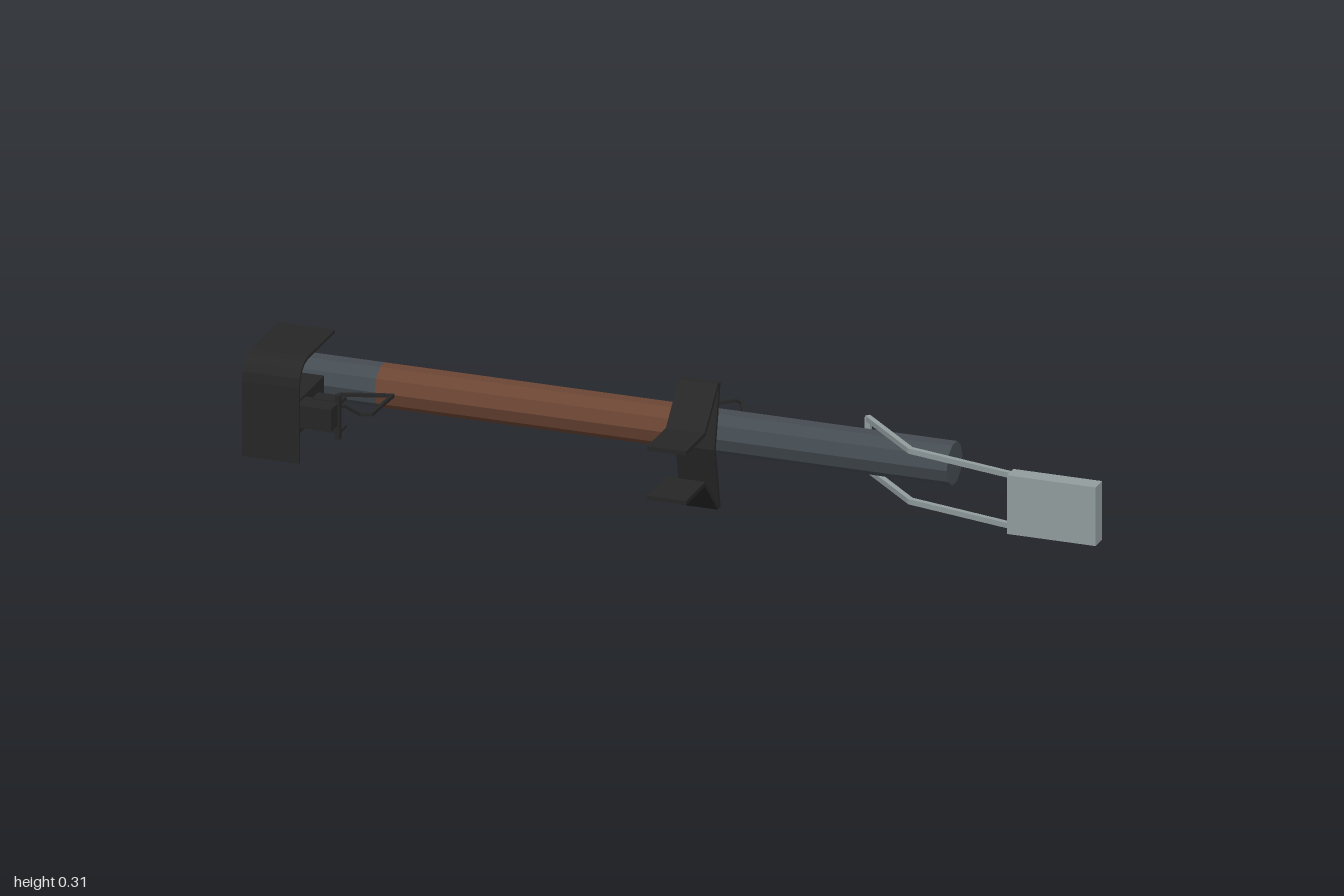
import * as THREE from 'three';

const mat = (name, color) => {
  const m = new THREE.MeshStandardMaterial({ color });
  m.name = name;
  return m;
};

export function createModel() {
  const steel = mat('blued steel', 0x454c52);
  const wood = mat('brown wood', 0x6b4533);
  const black = mat('black metal', 0x262626);
  const grey = mat('light grey metal', 0x929d9e);
  const model = new THREE.Group();
  model.name = 'shoulderTube';
  // The long axis is local z, swung 20 degrees about the vertical
  model.rotation.y = THREE.MathUtils.degToRad(20);
  const AXIS_X = 0.184, AXIS_Y = 0.162;

  const add = (name, geometry, material, parent = model) => {
    const g = geometry.index ? geometry.toNonIndexed() : geometry;
    g.computeVertexNormals();
    const mesh = new THREE.Mesh(g, material);
    mesh.name = name;
    parent.add(mesh);
    return mesh;
  };

  // Box given by its limits on each axis
  const block = (name, [x0, x1], [y0, y1], [z0, z1], material, parent) =>
    add(name, new THREE.BoxGeometry(x1 - x0, y1 - y0, z1 - z0), material, parent)
      .position.set((x0 + x1) / 2, (y0 + y1) / 2, (z0 + z1) / 2);

  // Square bar running through a list of points
  const bars = (name, points, size, material, closed = false) => {
    const group = new THREE.Group();
    group.name = name;
    const v = points.map((p) => new THREE.Vector3(...p));
    if (closed) v.push(v[0]);
    for (let i = 0; i + 1 < v.length; i++) {
      const length = v[i].distanceTo(v[i + 1]) + size * 0.6;
      const bar = add(name + 'Segment', new THREE.BoxGeometry(size, size, length), material, group);
      bar.position.copy(v[i]).lerp(v[i + 1], 0.5);
      bar.lookAt(v[i + 1]);
    }
    model.add(group);
  };

  // Bent sheet: a centreline in x and y, thickened and extruded along z
  const sheet = (name, points, thickness, z0, z1, material) => {
    const p = points.map(([x, y]) => new THREE.Vector2(x, y));
    const normal = (a, b) => new THREE.Vector2(a.y - b.y, b.x - a.x).normalize();
    const left = [], right = [];
    p.forEach((q, i) => {
      const n0 = normal(p[Math.max(i - 1, 0)], p[Math.max(i, 1)]);
      const n1 = i < p.length - 1 ? normal(q, p[i + 1]) : n0;
      const n = n0.clone().add(n1).normalize();
      n.multiplyScalar(thickness / 2 / n.dot(n1));
      left.push(q.clone().add(n));
      right.unshift(q.clone().sub(n));
    });
    const shape = new THREE.Shape([...left, ...right]);
    add(name, new THREE.ExtrudeGeometry(shape, { depth: z1 - z0, bevelEnabled: false }), material)
      .position.z = z0;
  };

  // Ten-sided tube in three sections
  const tube = (name, z0, z1, material) => {
    const g = new THREE.CylinderGeometry(0.0525, 0.0525, z1 - z0, 10, 1, false, Math.PI / 2);
    g.rotateX(Math.PI / 2);
    add(name, g, material).position.set(AXIS_X, AXIS_Y, (z0 + z1) / 2);
  };
  tube('rearTube', -0.976, -0.768, steel);
  tube('woodenGuard', -0.768, -0.018, wood);
  tube('frontTube', -0.018, 0.645, steel);

  // Bent wire brace and end pad
  const braceY = [0.093, 0.219];
  for (const y of braceY) {
    bars('braceRod', [[0.245, y, 0.409], [0.09, y, 0.571], [0.026, y, 0.85]], 0.013, grey);
  }
  bars('braceCrossbar', braceY.map((y) => [0.245, y, 0.409]), 0.013, grey);
  block('endPad', [0, 0.043], [0.082, 0.228], [0.843, 1.062], grey);

  // Folded side bracket, mirrored about its mid height
  const half = [[-0.107, 0.217], [0.02, 0.217], [0.105, 0.306], [0.117, 0.306]];
  const lower = half.map(([x, y]) => [x, 0.311 - y]).reverse();
  sheet('sideBracket', [...half, [0.086, 0.1555], ...lower], 0.01, -0.006, 0.09, black);

  // Curved hood: upright side, rounded corner, flat top
  const hood = [[-0.105, 0.06]];
  for (let i = 0; i <= 4; i++) {
    const a = (i / 4) * Math.PI / 2;
    hood.push([-0.05 - 0.055 * Math.cos(a), 0.247 + 0.055 * Math.sin(a)]);
  }
  hood.push([0.13, 0.302]);
  sheet('hood', hood, 0.007, -1.006, -0.865, black);

  // Box under the hood with its small fittings
  block('housing', [-0.083, 0.098], [0.117, 0.201], [-0.99, -0.88], black);
  block('frontBlock', [-0.085, -0.025], [0.14, 0.195], [-0.88, -0.795], black);
  block('uprightPin', [-0.04, -0.028], [0.105, 0.213], [-0.802, -0.79], black);
  for (const y of [0.122, 0.193]) {
    block('pinLug', [-0.035, 0.005], [y - 0.004, y + 0.004], [-0.86, -0.79], black);
  }
  block('lowerRail', [0.075, 0.1], [0.1, 0.118], [-1.0, -0.965], grey);

  // Two wire guards, each with a small lever
  const flat = (list) => list.map(([x, z]) => [x, 0.162, z]);
  bars('rearGuard', flat([[0.064, -0.85], [0.093, -0.835], [0.128, -0.722],
    [0, -0.727], [-0.008, -0.748]]), 0.008, black, true);
  bars('rearLever', flat([[-0.035, -0.835], [0.034, -0.804]]), 0.008, black);
  bars('sideGuard', flat([[0.321, -0.03], [0.38, 0.033], [0.37, 0.05],
    [0.282, 0.09], [0.254, 0.074], [0.246, -0.033]]), 0.008, black, true);
  bars('sideLever', flat([[0.21, 0.044], [0.253, 0.007]]), 0.008, black);

  const root = new THREE.Group();
  root.name = 'model';
  root.add(model);
  return root;
}
